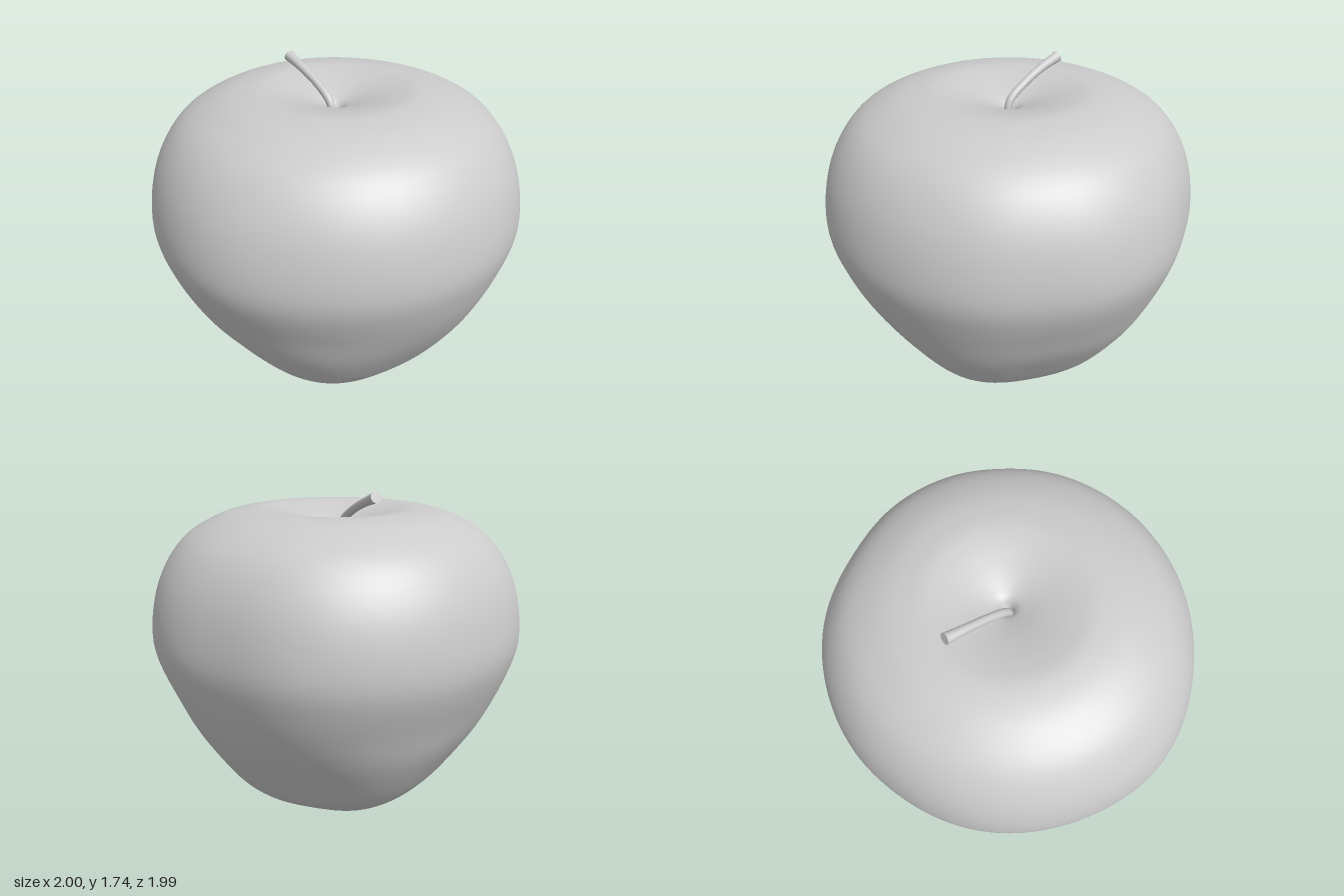
import * as THREE from 'three';
import { mergeVertices } from 'three/addons/utils/BufferGeometryUtils.js';

const rad = THREE.MathUtils.degToRad;
const LOBE = rad(-23); // direction of the first of five lobes
const bump = (v, centre, width) => Math.exp(-(((v - centre) / width) ** 2));

// Swellings and dents round the girth: direction, size, angular width
const GIRTH = [[150, 0.03, 0.4], [-42, -0.033, 0.3], [20, -0.014, 0.2], [237, -0.015, 0.35], [-90, -0.006, 0.3]];
function girth(a) {
  return GIRTH.reduce((sum, [deg, size, width]) => {
    const d = a - rad(deg);
    return sum + size * bump(Math.atan2(Math.sin(d), Math.cos(d)), 0, width);
  }, 0);
}

// Lathe profile, made irregular by the girth and by five lobes near the base
function fruitGeometry() {
  const profile = new THREE.SplineCurve([
    [0, 0.15], [0.03, 0.125], [0.07, 0.09], [0.15, 0.057], [0.24, 0.033], [0.33, 0.027], [0.45, 0.06],
    [0.6, 0.175], [0.75, 0.38], [0.86, 0.57], [0.95, 0.78], [1.0, 1.0], [0.95, 1.27],
    [0.82, 1.48], [0.63, 1.594], [0.45, 1.633], [0.33, 1.626], [0.2, 1.595], [0.1, 1.56],
    [0.05, 1.535], [0.02, 1.495], [0, 1.46],
  ].map(([r, y]) => new THREE.Vector2(r, y)));
  const points = profile.getPoints(110);
  points.forEach((p) => { p.x = Math.max(p.x, 0); });
  points[0].x = points[points.length - 1].x = 0;

  let geo = new THREE.LatheGeometry(points, 120);
  const pos = geo.attributes.position;
  for (let i = 0; i < pos.count; i++) {
    const x = pos.getX(i), y = pos.getY(i), z = pos.getZ(i);
    const r = Math.hypot(x, z);
    const a = Math.atan2(z, x);
    const lobe = Math.cos(5 * (a - LOBE));
    // Girth, lobed flank, a slight waist and a slimmer back-left side
    const low = bump(y, 0.25, 0.3);
    const scale = 1 + girth(a) * bump(y, 1, 0.55) + 0.025 * lobe * low
      - 0.012 * bump(y, 0.68, 0.12) * (0.5 + 0.5 * Math.sin(3 * a + 1))
      - 0.025 * low * Math.max(0, Math.cos(a + 0.8));
    // Shallow feet, the first standing lowest
    const foot = y < 0.8 ? bump(r, 0.32, 0.16) : 0;
    const lift = -foot * (0.008 * lobe + 0.01 * Math.cos(a - LOBE));
    pos.setXYZ(i, x * scale, y + lift, z * scale);
  }
  // Weld seam and poles for smooth shading
  geo.deleteAttribute('uv');
  geo.deleteAttribute('normal');
  geo = mergeVertices(geo, 1e-4);
  geo.computeVertexNormals();
  return geo;
}

export function createModel() {
  const group = new THREE.Group();
  const material = new THREE.MeshStandardMaterial({ color: 0xcccccc });

  const fruit = new THREE.Mesh(fruitGeometry(), material);
  fruit.name = 'fruit';
  group.add(fruit);

  // Curved stem, flaring at the tip
  const path = new THREE.CatmullRomCurve3([
    new THREE.Vector3(-0.02, 1.47, 0.01),
    new THREE.Vector3(-0.03, 1.555, -0.015),
    new THREE.Vector3(-0.055, 1.625, -0.11),
    new THREE.Vector3(-0.085, 1.677, -0.22),
    new THREE.Vector3(-0.115, 1.72, -0.345),
  ]);
  const rings = 28, sides = 16;
  const radiusAt = (t) => 0.021 + 0.009 * t ** 5;
  const tube = new THREE.TubeGeometry(path, rings, 1, sides, false);
  const pos = tube.attributes.position;
  const v = new THREE.Vector3();
  for (let i = 0; i < pos.count; i++) {
    const t = Math.floor(i / (sides + 1)) / rings;
    const c = path.getPointAt(t);
    v.fromBufferAttribute(pos, i).sub(c).multiplyScalar(radiusAt(t)).add(c);
    pos.setXYZ(i, v.x, v.y, v.z);
  }
  const stem = new THREE.Mesh(tube, material);
  stem.name = 'stem';
  group.add(stem);

  // Flat cut end of the stem
  const tip = new THREE.Mesh(new THREE.CircleGeometry(radiusAt(1), sides), material);
  tip.name = 'stemTip';
  tip.position.copy(path.getPointAt(1));
  tip.quaternion.setFromUnitVectors(new THREE.Vector3(0, 0, 1), path.getTangentAt(1));
  group.add(tip);

  return group;
}
